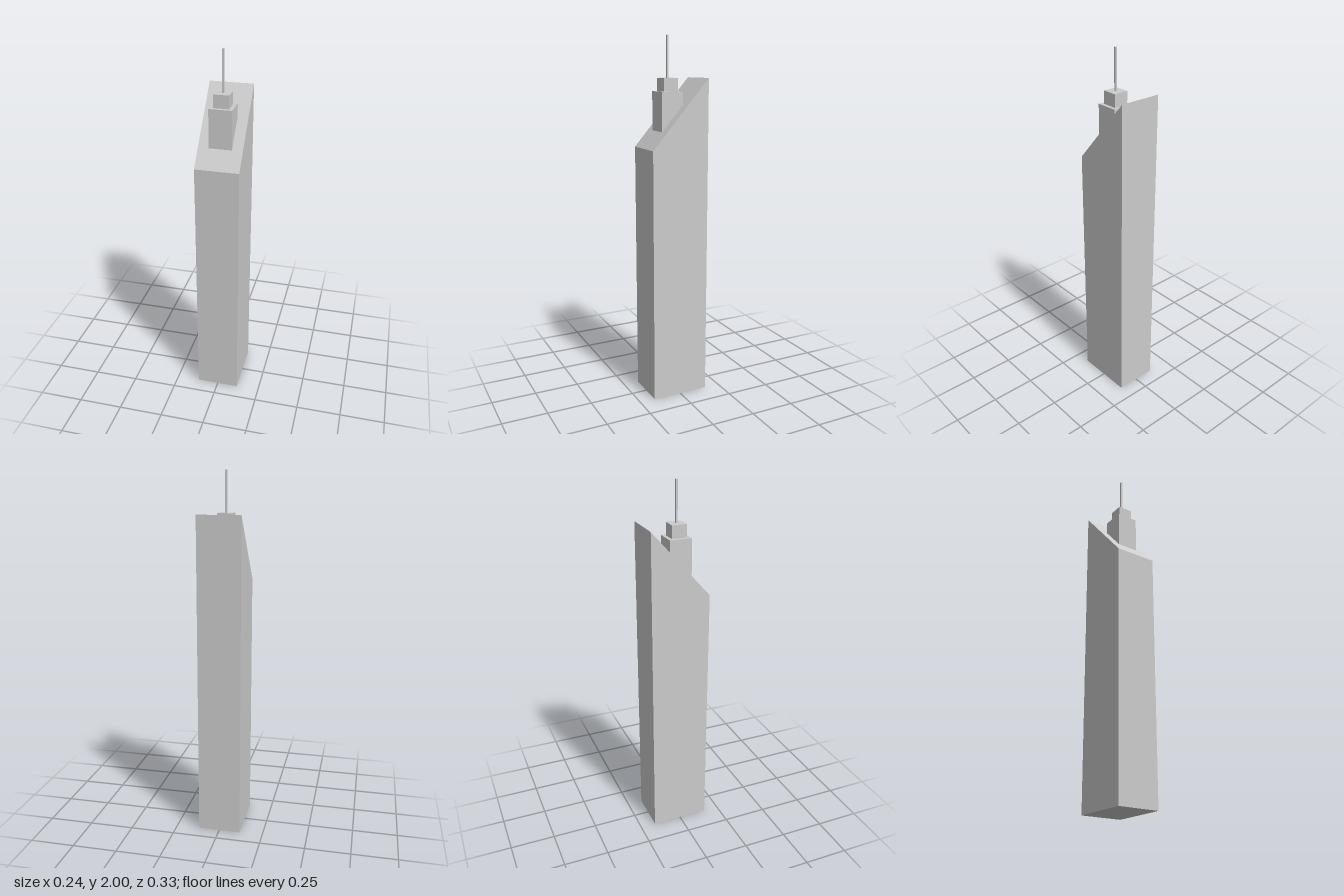
import * as THREE from 'three';

export function createModel() {
  const group = new THREE.Group();
  const material = new THREE.MeshStandardMaterial({ color: 0xcccccc, flatShading: true });

  const add = (name, geometry) => {
    const mesh = new THREE.Mesh(geometry, material);
    mesh.name = name;
    group.add(mesh);
    return mesh;
  };

  // Tower shaft: a box whose top slopes from the high back down to the front
  const halfDepth = 0.163, backTop = 1.78, frontTop = 1.41;
  const shaft = new THREE.BoxGeometry(0.238, 1, halfDepth * 2);
  const p = shaft.attributes.position;
  for (let i = 0; i < p.count; i++) {
    const top = p.getZ(i) > 0 ? frontTop : backTop;
    p.setY(i, p.getY(i) > 0 ? top : 0);
  }
  shaft.computeVertexNormals();
  add('towerShaft', shaft);

  // Square tiers stacked on the sloped roof, ending in a thin mast
  const tiers = [
    ['lowerRoofBlock', 0.123, 1.5, 1.71],
    ['upperRoofBlock', 0.083, 1.71, 1.78],
    ['mast', 0.01, 1.78, 2],
  ];
  for (const [name, width, bottom, top] of tiers) {
    const tier = add(name, new THREE.BoxGeometry(width, top - bottom, width));
    tier.position.set(0, (bottom + top) / 2, 0.022);
  }

  return group;
}
